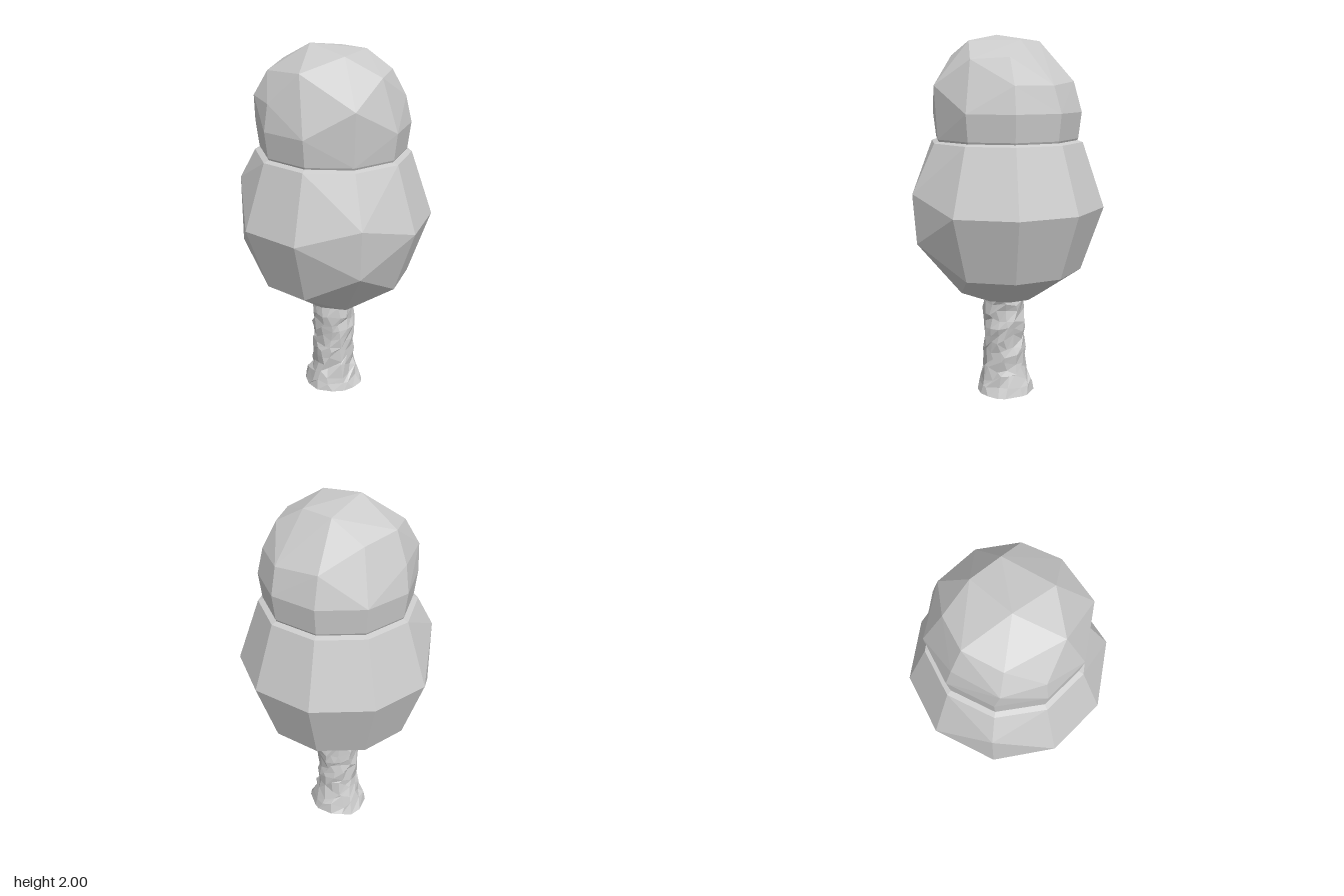
import * as THREE from 'three';
import { ConvexGeometry } from 'three/addons/geometries/ConvexGeometry.js';

const material = new THREE.MeshStandardMaterial({ color: 0xcccccc, flatShading: true });
const SIDES = 10;

// Point on column k, counted from the front (+z) towards +x
const onColumn = (k, r, y) => {
  const a = (k / SIDES) * Math.PI * 2;
  return new THREE.Vector3(Math.sin(a) * r, y, Math.cos(a) * r);
};

function addMesh(group, name, geometry) {
  const mesh = new THREE.Mesh(geometry, material);
  mesh.name = name;
  group.add(mesh);
}

// Lower crown: ten columns of [radius, height], two of them uneven
function lowerCrown() {
  const regular = [[0.18, 0.565], [0.42, 0.73], [0.54, 1.08], [0.42, 1.43], [0.3, 1.47]];
  const uneven = {
    0: [[0.27, 0.6], [0.52, 0.9], [0.54, 1.17], [0.415, 1.43], [0.3, 1.47]],
    7: [[0.18, 0.565], [0.35, 0.67], [0.505, 0.9], [0.505, 1.27], [0.42, 1.43], [0.3, 1.47]],
  };
  const points = [];
  for (let k = 0; k < SIDES; k++) {
    for (const [r, y] of uneven[k] ?? regular) points.push(onColumn(k, r, y));
  }
  return new ConvexGeometry(points);
}

// Upper crown: regular lower rings under an irregular faceted cap
function upperCrown() {
  const points = [];
  for (let k = 0; k < SIDES; k++) {
    points.push(onColumn(k, 0.36, 1.38), onColumn(k, 0.395, 1.45));
    points.push(k === 0 ? onColumn(k, 0.412, 1.73) : onColumn(k, 0.412, 1.59));
  }
  const cap = [
    [-0.12, 2, 0], [0.18, 1.96, 0], [0, 1.96, 0.215], [0.09, 1.96, -0.155],
    [0.285, 1.87, 0.11], [0.175, 1.86, 0.28], [-0.23, 1.89, 0.225],
    [-0.33, 1.86, -0.07], [-0.21, 1.89, -0.24], [-0.02, 1.86, -0.3],
    [0.36, 1.73, -0.1], [0.36, 1.73, 0.12], [0.21, 1.75, -0.3],
    [-0.4, 1.73, -0.1], [-0.37, 1.73, 0.12], [-0.24, 1.73, -0.3],
  ];
  for (const p of cap) points.push(new THREE.Vector3(...p));
  return new ConvexGeometry(points);
}

// Trunk: flared cylinder with chipped bark, roughened by a hash of the position
function trunk() {
  const height = 0.62;
  const geometry = new THREE.CylinderGeometry(1, 1, height, 15, 13);
  geometry.translate(0, height / 2, 0);
  const hash = (x, y, z, seed) => {
    const s = Math.sin(Math.round(x * 100) * 12.99 + Math.round(y * 100) * 78.23
      + Math.round(z * 100) * 37.72 + seed) * 43758.55;
    return s - Math.floor(s) - 0.5;
  };
  const pos = geometry.attributes.position;
  for (let i = 0; i < pos.count; i++) {
    const [x, y, z] = [pos.getX(i), pos.getY(i), pos.getZ(i)];
    if (Math.hypot(x, z) < 0.5) continue;
    const flare = 0.055 * Math.max(0, 1 - y / 0.17) ** 1.4;
    const r = 0.117 + flare + hash(x, y, z, 1) * 0.02;
    const a = Math.atan2(x, z) + hash(x, y, z, 2) * 0.3;
    const rough = y > 0.01 ? hash(x, y, z, 3) * 0.045 : 0;
    pos.setXYZ(i, Math.sin(a) * r, y + rough, Math.cos(a) * r + 0.01 * Math.min(1, y / 0.2));
  }
  geometry.computeVertexNormals();
  return geometry;
}

export function createModel() {
  const tree = new THREE.Group();
  tree.name = 'tree';
  addMesh(tree, 'trunk', trunk());
  addMesh(tree, 'lowerCrown', lowerCrown());
  addMesh(tree, 'upperCrown', upperCrown());
  return tree;
}
